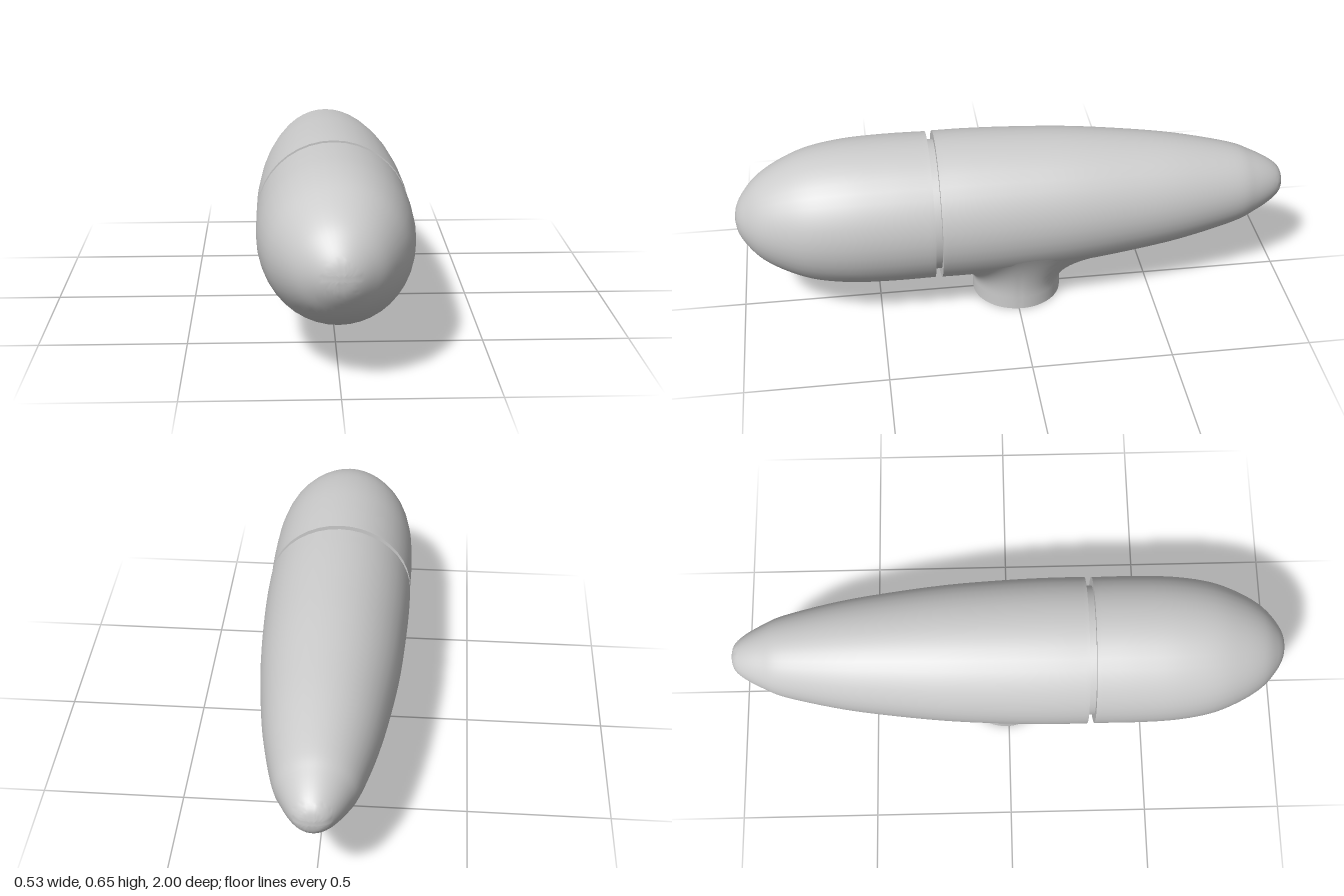
import * as THREE from 'three';
import { toCreasedNormals } from 'three/addons/utils/BufferGeometryUtils.js';

const AXIS_Y = 0.384;
const SIDES = 40;
const material = new THREE.MeshStandardMaterial({ color: 0xcccccc });

const vec = ([r, z]) => new THREE.Vector2(r, z);
const smooth = (points, n) => new THREE.SplineCurve(points.map(vec)).getPoints(n);

// Profiles as [radius, z], running from back to front
const rearProfile = smooth([
  [0, -1], [0.045, -0.988], [0.08, -0.95], [0.118, -0.88], [0.15, -0.8], [0.196, -0.6],
  [0.226, -0.4], [0.248, -0.2], [0.26, 0], [0.265, 0.16], [0.265, 0.28],
], 50);
const frontProfile = smooth([
  [0.264, 0.305], [0.265, 0.45], [0.259, 0.6], [0.238, 0.73], [0.2, 0.83],
  [0.152, 0.91], [0.1, 0.96], [0.05, 0.99], [0, 1],
], 40);

// Solid turned around the horizontal z axis
function turned(name, points) {
  const geometry = new THREE.LatheGeometry(points, SIDES).rotateX(Math.PI / 2);
  const mesh = new THREE.Mesh(toCreasedNormals(geometry, 0.7), material);
  mesh.name = name;
  mesh.position.y = AXIS_Y;
  return mesh;
}

// Radius of the rear body at a given z
function rearRadius(z) {
  const i = Math.max(1, rearProfile.findIndex((p) => p.y >= z));
  const a = rearProfile[i - 1], b = rearProfile[i];
  return THREE.MathUtils.mapLinear(z, a.y, b.y, a.x, b.x);
}

// Height of the rear body's underside above a point of the ground
const underside = (x, z) => AXIS_Y - Math.sqrt(rearRadius(z) ** 2 - x * x);

// Round neck that flares tangentially into the underside of the body
function neckGeometry() {
  const radius = 0.162, centreZ = -0.01, cols = 64, steps = 12;
  const positions = [], indices = [];
  for (let row = 0; row <= steps + 1; row++) {
    for (let i = 0; i <= cols; i++) {
      const angle = (i / cols) * Math.PI * 2;
      const c = Math.cos(angle), s = Math.sin(angle);
      const nx = radius * c, nz = centreZ + radius * s;
      // Footprint on the body, longer towards the back
      const px = 0.225 * c, pz = centreZ + (s > 0 ? 0.27 : 0.38) * s;
      const py = underside(px, pz), e = 0.01;
      const slopeX = (underside(px + e, pz) - underside(px - e, pz)) / (2 * e);
      const slopeZ = (underside(px, pz) - underside(px, pz - 2 * e)) / (2 * e);
      const cy = py + slopeX * (nx - px) + slopeZ * (nz - pz);
      const curve = new THREE.QuadraticBezierCurve3(
        new THREE.Vector3(nx, 0.05, nz),
        new THREE.Vector3(nx, cy, nz),
        new THREE.Vector3(px, py + 0.002, pz),
      );
      const p = row === 0 ? new THREE.Vector3(nx, 0, nz) : curve.getPoint((row - 1) / steps);
      positions.push(p.x, p.y, p.z);
      if (row <= steps && i < cols) {
        const a = row * (cols + 1) + i, b = a + cols + 1;
        indices.push(a, b, a + 1, b, b + 1, a + 1);
      }
    }
  }
  const geometry = new THREE.BufferGeometry();
  geometry.setAttribute('position', new THREE.Float32BufferAttribute(positions, 3));
  geometry.setIndex(indices);
  return toCreasedNormals(geometry, 0.7);
}

export function createModel() {
  const group = new THREE.Group();
  group.name = 'capsuleHead';

  // Two shells with flat faces towards the seam, joined by a recessed ring
  group.add(turned('rearShell', [...rearProfile, vec([0, 0.28])]));
  group.add(turned('frontShell', [vec([0, 0.305]), ...frontProfile]));
  group.add(turned('seamRing', [vec([0.234, 0.27]), vec([0.234, 0.315])]));

  const neck = new THREE.Mesh(neckGeometry(), material);
  neck.name = 'neck';
  group.add(neck);

  // Flat underside of the neck
  const base = new THREE.Mesh(new THREE.CircleGeometry(0.162, 64).rotateX(Math.PI / 2), material);
  base.name = 'neckBase';
  base.position.z = -0.01;
  group.add(base);

  return group;
}
